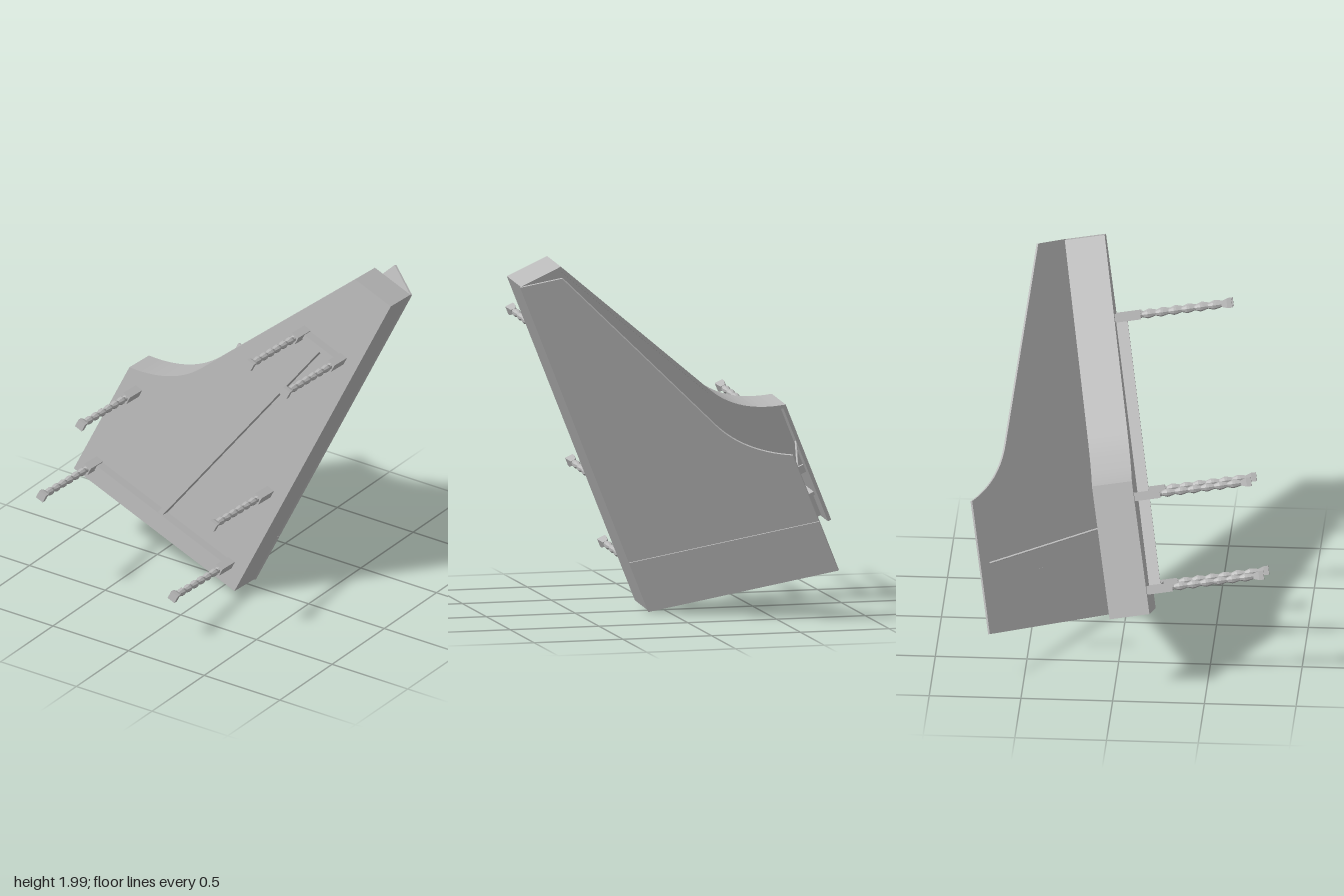
import * as THREE from 'three';

const W = 1.134, L = 2.055, H = 0.219, T = 0.02; // case width, length, height, wall
const SPLIT = 0.315;                             // where the lid flap folds

const grey = new THREE.MeshStandardMaterial({ color: 0xb8b8b8, flatShading: true });
grey.name = 'plain grey';

function add(parent, name, geometry, x = 0, y = 0, z = 0) {
  const mesh = new THREE.Mesh(geometry, grey);
  mesh.name = name;
  mesh.position.set(x, y, z);
  parent.add(mesh);
  return mesh;
}

// Box given by its minimum corner and size
function box(parent, name, x, y, z, sx, sy, sz) {
  return add(parent, name, new THREE.BoxGeometry(sx, sy, sz), x + sx / 2, y + sy / 2, z + sz / 2);
}

// Bar between two points
function bar(parent, name, a, b, geometry) {
  const mesh = add(parent, name, geometry);
  mesh.position.copy(a).add(b).multiplyScalar(0.5);
  mesh.quaternion.setFromUnitVectors(new THREE.Vector3(0, 1, 0), b.clone().sub(a).normalize());
  return mesh;
}

function extrude(points, depth) {
  return new THREE.ExtrudeGeometry(new THREE.Shape(points), { depth, bevelEnabled: false });
}

// Wing-shaped outline: spine, tail, bentside, cheek; open at the keyboard
function outline(front) {
  const v = (x, y) => new THREE.Vector2(x, y);
  const bend = new THREE.QuadraticBezierCurve(v(0.773, 1.005), v(0.87, 0.81), v(W, 0.73));
  return [v(0, front), v(0, L), v(0.25, L), ...bend.getPoints(14), v(W, front)];
}

// Mitred inward offset of the open outline
function inset(points, d) {
  const normal = (a, b) => new THREE.Vector2(b.y - a.y, a.x - b.x).normalize();
  return points.map((p, i) => {
    const n1 = normal(points[Math.max(i - 1, 0)], points[Math.max(i, 1)]);
    const last = points.length - 1;
    const n2 = normal(points[Math.min(i, last - 1)], points[Math.min(i + 1, last)]);
    const m = n1.clone().add(n2);
    return p.clone().addScaledVector(m, (2 * d) / m.lengthSq());
  });
}

function buildCase(parent) {
  const outer = outline(0);
  add(parent, 'bottomBoard', extrude(outer, T));
  add(parent, 'caseWalls', extrude([...outer, ...inset(outer, T).reverse()], H - T), 0, 0, T);
  add(parent, 'soundboard', extrude(inset(outline(0.32), T), 0.012), 0, 0, 0.148);
  box(parent, 'bellyRail', T, 0.32, T, W - 2 * T, 0.02, 0.128);
  box(parent, 'jackRail', T, 0.3, 0.15, W - 2 * T, 0.045, 0.02);
}

function buildKeyboard(parent) {
  const keys = new THREE.Group();
  keys.name = 'keyboard';
  parent.add(keys);
  box(keys, 'keyBed', T, 0.01, T, W - 2 * T, 0.16, 0.055);
  box(keys, 'nameBoard', T, 0.15, T, W - 2 * T, 0.02, 0.14);
  const count = 36, block = 0.045;
  const pitch = (W - 2 * T - 2 * block) / count;
  for (const x of [T, W - T - block]) box(keys, 'keyBlock', x, 0.01, 0.07, block, 0.14, 0.05);
  for (let i = 0; i < count; i++) {
    const x = T + block + i * pitch;
    box(keys, 'naturalKey', x + 0.001, 0.02, 0.075, pitch - 0.003, 0.13, 0.018);
    if (i < count - 1 && ![2, 6].includes(i % 7)) {
      box(keys, 'sharpKey', x + pitch * 0.72, 0.07, 0.09, pitch * 0.55, 0.08, 0.016);
    }
  }
}

function buildLid(parent) {
  const lid = new THREE.Group();
  lid.name = 'lid';
  lid.position.z = H;
  lid.rotation.y = -0.625;
  parent.add(lid);
  add(lid, 'mainLid', extrude(outline(SPLIT), 0.012));
  box(lid, 'lidFlap', 0, 0, 0, W, SPLIT - 0.005, 0.012);
  box(lid, 'flapHinge', 0, SPLIT - 0.008, 0.001, W, 0.01, 0.004);
  bar(parent, 'propStick', new THREE.Vector3(1.115, 0.5, 0.2), new THREE.Vector3(0.851, 0.382, 0.832),
    new THREE.CylinderGeometry(0.006, 0.006, 0.695, 8));
}

// Turned leg: square block, beaded shaft, square flared foot
function buildLeg(parent, x, y) {
  const leg = new THREE.Group();
  leg.name = 'leg';
  leg.position.set(x, y, 0);
  leg.rotation.x = -Math.PI / 2;
  parent.add(leg);
  add(leg, 'legBlock', new THREE.BoxGeometry(0.046, 0.14, 0.046), 0, 0.07, 0);
  const profile = [new THREE.Vector2(0.018, 0.14)];
  const beads = 6, step = 0.072;
  for (let i = 0; i < beads; i++) {
    const y0 = 0.15 + i * step;
    profile.push(new THREE.Vector2(0.013, y0), new THREE.Vector2(0.023, y0 + step * 0.4),
      new THREE.Vector2(0.021, y0 + step * 0.6));
  }
  profile.push(new THREE.Vector2(0.013, 0.59));
  add(leg, 'legShaft', new THREE.LatheGeometry(profile, 8));
  const foot = new THREE.CylinderGeometry(0.034, 0.02, 0.03, 4).rotateY(Math.PI / 4);
  add(leg, 'footFlare', foot, 0, 0.6, 0);
  add(leg, 'foot', new THREE.BoxGeometry(0.048, 0.027, 0.048), 0, 0.6275, 0);
}

function buildStand(parent) {
  const stand = new THREE.Group();
  stand.name = 'stand';
  parent.add(stand);
  const spots = [[0.1, 0.127], [1.03, 0.127], [0.1, 0.64], [1.03, 0.64], [0.1, 1.6], [0.355, 1.6]];
  for (const [x, y] of spots) buildLeg(stand, x, y);
  box(stand, 'frontStretcher', 0.1, 0.112, -0.065, 0.93, 0.03, 0.065);
  box(stand, 'rearStretcher', 0.1, 1.585, -0.065, 0.255, 0.03, 0.065);
  const a = new THREE.Vector3(0.565, 0.135, -0.031), b = new THREE.Vector3(0.2275, 1.59, -0.031);
  bar(stand, 'longStretcher', a, b, new THREE.BoxGeometry(0.03, a.distanceTo(b), 0.062));
}

export function createModel() {
  const model = new THREE.Group();
  model.name = 'harpsichord';
  const body = new THREE.Group();
  body.name = 'instrument';
  model.add(body);
  buildCase(body);
  buildKeyboard(body);
  buildLid(body);
  buildStand(body);

  // Lay the instrument over: x across the keys, y towards the tail, z up through the lid
  const along = new THREE.Vector3(0.394, 0.906, -0.158).normalize();
  const up = new THREE.Vector3(-0.916, 0.404, 0.031).cross(along).normalize();
  const across = along.clone().cross(up);
  body.quaternion.setFromRotationMatrix(new THREE.Matrix4().makeBasis(across, along, up));
  body.position.set(0.12, 0.037, 0.16);
  return model;
}
